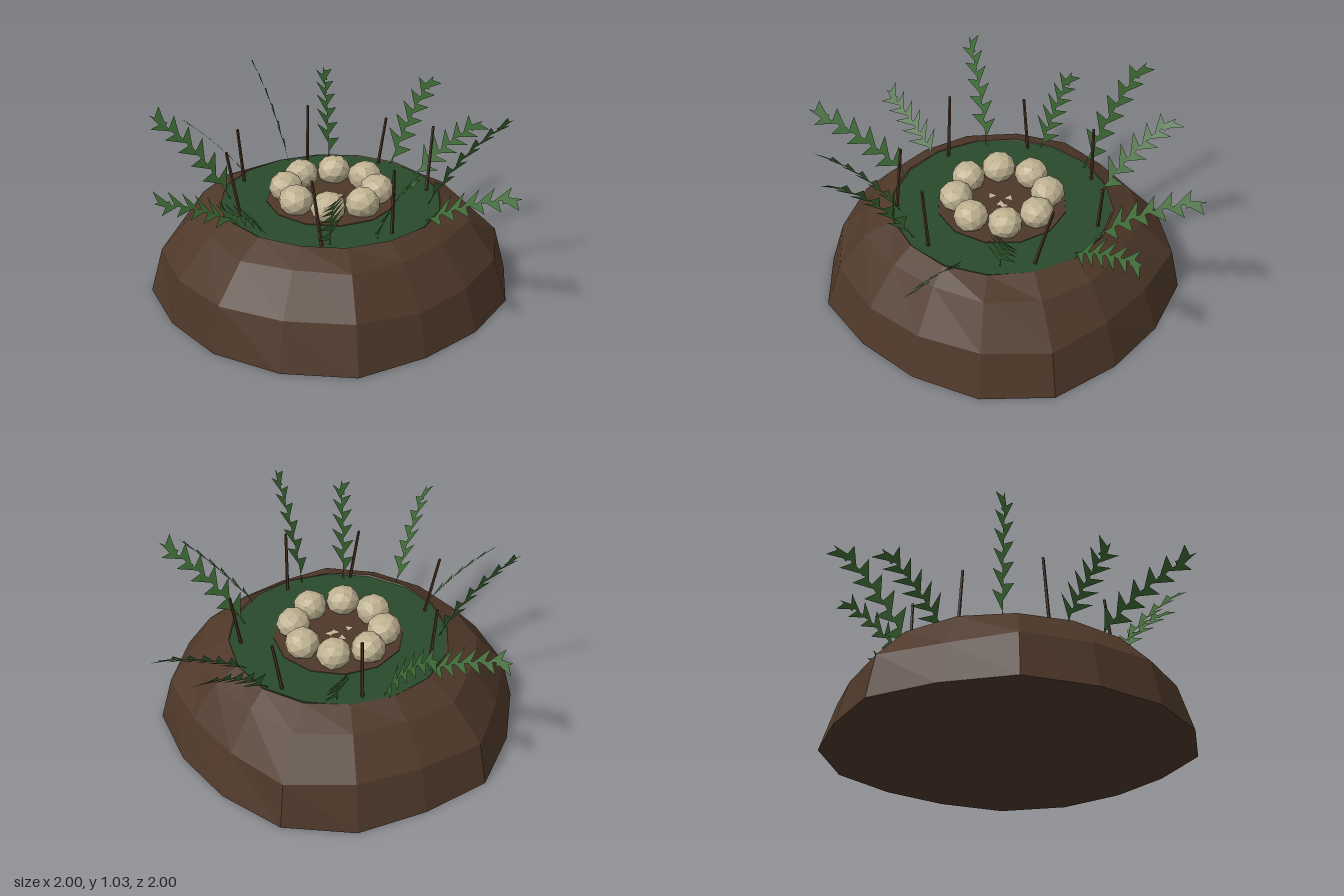
import * as THREE from 'three';

const mat = (name, color, extra = {}) => {
  const m = new THREE.MeshStandardMaterial({ color, ...extra });
  m.name = name;
  return m;
};

// Small repeatable noise in -1..1
const noise = (a, b) => {
  const s = Math.sin(a * 12.9898 + b * 78.233) * 43758.5453;
  return (s - Math.floor(s)) * 2 - 1;
};

const flat = { flatShading: true };
const soil = mat('soil brown', 0x4e3829, flat);
const moss = mat('moss green', 0x2a4a2b, flat);
const fern = mat('fern green', 0x3b6733, { flatShading: true, side: THREE.DoubleSide });
const shell = mat('egg shell', 0xbfb292, flat);
const shard = mat('shell shard', 0xc4b596, { flatShading: true, side: THREE.DoubleSide });
const twigBrown = mat('twig brown', 0x4a3426, flat);

function add(parent, name, geometry, material) {
  const mesh = new THREE.Mesh(geometry, material);
  mesh.name = name;
  parent.add(mesh);
  return mesh;
}

// Faceted mound: a lathe whose outline is pushed in and out around the rim
function moundGeometry() {
  const rings = [[0, 0], [1, 0], [0.93, 0.24], [0.76, 0.44], [0.605, 0.506], [0.585, 0.49], [0, 0.485]];
  const outline = [1, 0.94, 0.94, 0.98, 1, 0.95, 0.95, 1, 1, 0.96, 1, 0.97, 1, 0.965, 0.975, 0.985];
  const geo = new THREE.LatheGeometry(rings.map(([r, y]) => new THREE.Vector2(r, y)), 16);
  const p = geo.attributes.position;
  for (let i = 0; i < p.count; i++) {
    const ring = i % rings.length;
    const col = Math.floor(i / rings.length) % 16;
    if (ring < 1 || ring > 4) continue;
    let k = outline[col];
    if (ring === 2 || ring === 3) k += noise(ring, col) * 0.02;
    if (ring === 4) k = 1 + noise(ring, col) * 0.012;
    p.setX(i, p.getX(i) * k);
    p.setZ(i, p.getZ(i) * k);
    if (ring > 1) p.setY(i, p.getY(i) + noise(col, ring + 9) * (ring === 4 ? 0.004 : 0.015));
  }
  return geo;
}

// Rough egg: a faceted ball whose corners move in or out a little
function eggGeometry() {
  const geo = new THREE.IcosahedronGeometry(0.094, 1);
  const p = geo.attributes.position;
  const v = new THREE.Vector3();
  for (let i = 0; i < p.count; i++) {
    v.fromBufferAttribute(p, i);
    const key = Math.round(v.x * 500) + Math.round(v.y * 500) * 1.7;
    v.multiplyScalar(1 + noise(key, Math.round(v.z * 500)) * 0.05);
    p.setXYZ(i, v.x, v.y * 0.9, v.z);
  }
  return geo;
}

// Arching frond: staggered pointed leaflets along a curve, the blade rolled about its stem
function frondGeometry(base, tip, roll) {
  const mid = base.clone().lerp(tip, 0.38);
  mid.y = base.y + (tip.y - base.y) * 0.66;
  const curve = new THREE.QuadraticBezierCurve3(base, mid, tip);
  const side = new THREE.Vector3(tip.z - base.z, 0, base.x - tip.x).normalize();
  side.applyAxisAngle(tip.clone().sub(base).normalize(), roll);
  const verts = [];
  const tri = (...pts) => pts.forEach((v) => verts.push(v.x, v.y, v.z));
  for (let i = 0; i < 11; i++) {
    const s = i % 2 ? 1 : -1;
    const t = 0.08 + i * 0.075;
    const a = curve.getPoint(t);
    const b = curve.getPoint(t + 0.12);
    const point = a.clone().addScaledVector(side, s * (0.088 - i * 0.002));
    point.addScaledVector(curve.getTangent(t), 0.1);
    if (s > 0) tri(a, point, b);
    else tri(a, b, point);
  }
  // Narrow stem and end leaflet
  const w = side.clone().multiplyScalar(0.007);
  for (let i = 0; i < 6; i++) {
    const a = curve.getPoint(i / 6);
    tri(a.clone().sub(w), a.clone().add(w), curve.getPoint((i + 1) / 6));
  }
  const e = curve.getPoint(0.84);
  const half = side.clone().multiplyScalar(0.022);
  tri(e.clone().sub(half), e.clone().add(half), tip);
  const geo = new THREE.BufferGeometry();
  geo.setAttribute('position', new THREE.Float32BufferAttribute(verts, 3));
  geo.computeVertexNormals();
  return geo;
}

export function createModel() {
  const nest = new THREE.Group();
  nest.name = 'nest';

  add(nest, 'mound', moundGeometry(), soil);

  // Mossy lining and bare earth patch
  add(nest, 'mossLining', new THREE.CylinderGeometry(0.598, 0.598, 0.014, 16), moss).position.y = 0.495;
  add(nest, 'earthPatch', new THREE.CylinderGeometry(0.355, 0.36, 0.02, 12), soil).position.y = 0.496;

  // Ring of eggs
  const eggs = new THREE.Group();
  eggs.name = 'eggs';
  nest.add(eggs);
  for (let i = 0; i < 8; i++) {
    const a = 0.2 + (i * Math.PI) / 4;
    const egg = add(eggs, 'egg', eggGeometry(), shell);
    egg.position.set(Math.cos(a) * 0.248, 0.558, Math.sin(a) * 0.248);
    egg.rotation.y = i * 0.8;
  }

  // Broken shell pieces in the middle
  [[-0.015, -0.045, 0.4], [0.05, 0, 2], [-0.06, 0.04, 3.4], [0.02, 0.012, 5]].forEach(([x, z, turn]) => {
    const piece = add(nest, 'shellShard', new THREE.CircleGeometry(0.03, 3), shard);
    piece.position.set(x, 0.513, z);
    piece.rotation.set(-Math.PI / 2, 0, turn);
  });

  // Fronds: base x, z, tip x, z and roll angle; tip heights repeat every six
  const heights = [1.02, 0.93, 0.88, 0.73, 1.0, 0.75];
  [
    [-0.18, -0.53, -0.37, -0.95, 1], [0.06, -0.54, 0.08, -0.95, 0.7], [0.4, -0.41, 0.74, -0.84, 0.7],
    [0.5, -0.24, 0.95, -0.44, 0.8], [0.5, 0.15, 0.93, 0.23, -0.7], [0.44, 0.34, 0.86, 0.67, 0.7],
    [0.16, 0.52, 0.28, 0.96, 0.7], [-0.08, 0.54, -0.11, 0.95, 0.7], [-0.37, 0.44, -0.62, 0.93, -0.7],
    [-0.52, 0.26, -0.94, 0.44, -0.7], [-0.54, -0.06, -0.95, -0.07, -0.9], [-0.43, -0.35, -0.8, -0.66, 0.7],
  ].forEach(([bx, bz, tx, tz, roll], i) => {
    const base = new THREE.Vector3(bx, 0.49, bz);
    const tip = new THREE.Vector3(tx, heights[i % 6], tz);
    add(nest, 'fernFrond', frondGeometry(base, tip, roll), fern);
  });

  // Upright twigs: foot x, z and top x, y, z
  [
    [0.53, -0.02, 0.575, 0.85, -0.1], [0.25, 0.465, 0.25, 0.86, 0.485],
    [-0.12, 0.56, -0.165, 0.84, 0.51], [-0.5, 0.18, -0.565, 0.86, 0.145],
    [-0.455, -0.285, -0.485, 0.82, -0.265], [-0.07, -0.54, -0.065, 0.84, -0.535],
    [0.33, -0.435, 0.375, 0.78, -0.435],
  ].forEach(([bx, bz, tx, ty, tz]) => {
    const foot = new THREE.Vector3(bx, 0.48, bz);
    const top = new THREE.Vector3(tx, ty, tz);
    const dir = top.clone().sub(foot);
    const twig = add(nest, 'twig', new THREE.CylinderGeometry(0.008, 0.01, dir.length(), 5), twigBrown);
    twig.position.copy(foot).lerp(top, 0.5);
    twig.quaternion.setFromUnitVectors(new THREE.Vector3(0, 1, 0), dir.normalize());
  });

  return nest;
}
